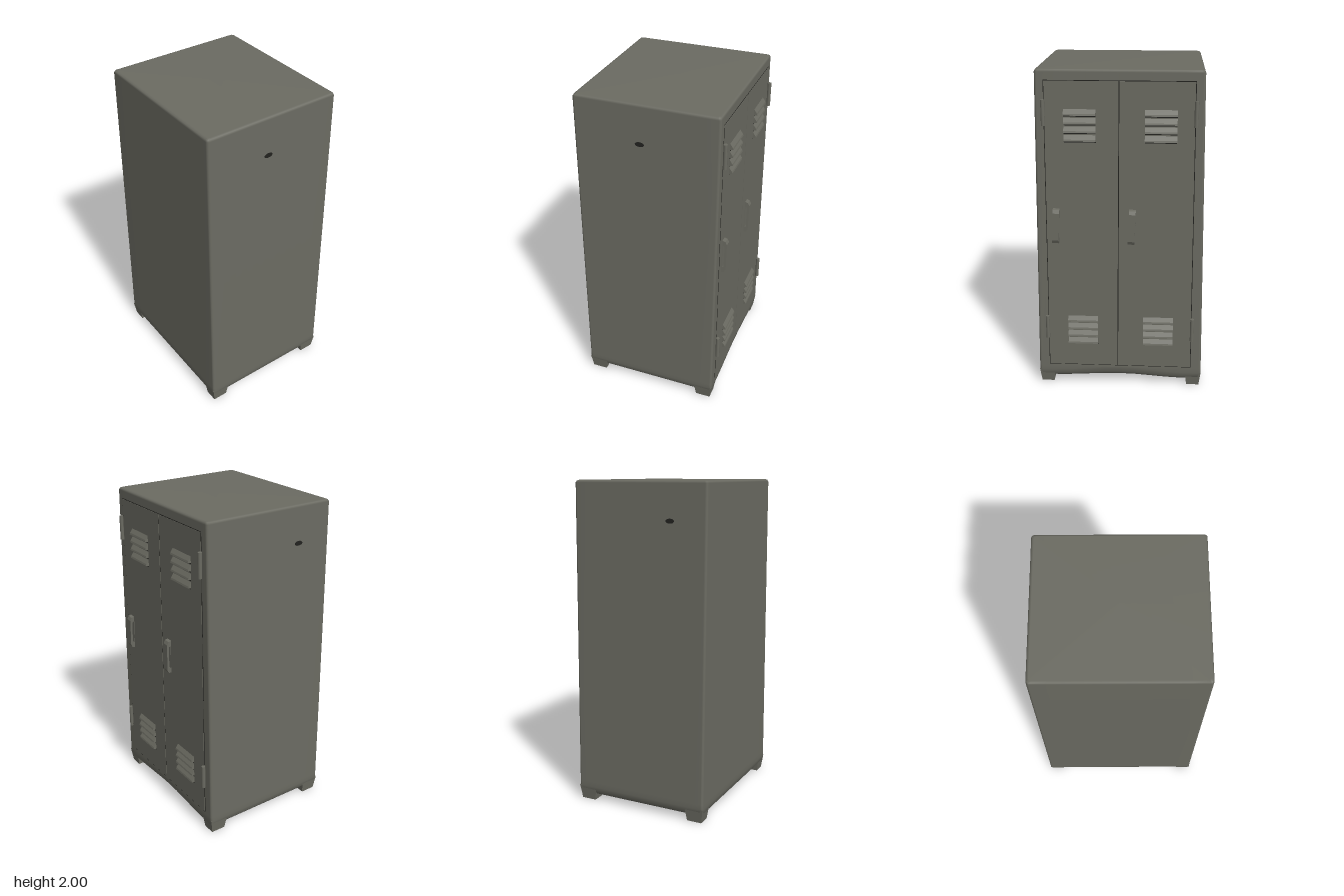
import * as THREE from 'three';

const X0 = -0.45, X1 = 0.415;
// half depth narrows towards the top
const halfZ = (y) => 0.515 - 0.0165 * y;

// rounded rectangle in xz, edges subdivided so they can be bent
function ring(inset, hz, r) {
  const cx = (X0 + X1) / 2, hx = (X1 - X0) / 2 - inset - r, h = hz - inset - r;
  const arcs = [[1, 1], [-1, 1], [-1, -1], [1, -1]].map(([sx, sz], k) =>
    [0, 1, 2, 3].map((i) => {
      const a = (k + i / 3) * Math.PI / 2;
      return [cx + sx * hx + r * Math.cos(a), sz * h + r * Math.sin(a)];
    }));
  const pts = [];
  arcs.forEach((arc, k) => {
    pts.push(...arc);
    const a = arc[3], b = arcs[(k + 1) % 4][0];
    for (let i = 1; i < 10; i++) pts.push([a[0] + (b[0] - a[0]) * i / 10, a[1] + (b[1] - a[1]) * i / 10]);
  });
  return pts;
}

// cabinet shell lofted from rings, with a shallow arch under the door side
function shellGeometry() {
  const levels = [[0.035, 0.05], [0.042, 0.02], [0.06, 0.005], [0.09, 0], [0.12, 0], [1.985, 0], [1.996, 0.005], [2, 0.016]];
  const pos = [], idx = [];
  let n = 0;
  levels.forEach(([y, inset], l) => {
    const pts = ring(inset, halfZ(y), 0.015);
    n = pts.length;
    pts.forEach(([x, z]) => {
      const side = Math.max(0, (x - 0.3) / 0.115);
      const lift = l < 4 && Math.abs(z) < 0.42 ? 0.025 * side * Math.cos(z / 0.42 * Math.PI / 2) ** 2 : 0;
      pos.push(x, y + lift, z);
    });
  });
  const last = levels.length - 1, bottom = n * levels.length, top = bottom + 1;
  pos.push(0, levels[0][0], 0, 0, 2, 0);
  for (let i = 0; i < n; i++) {
    const j = (i + 1) % n;
    for (let l = 0; l < last; l++) {
      const a = l * n + i, b = l * n + j;
      idx.push(a, a + n, b, b, a + n, b + n);
    }
    idx.push(bottom, i, j, top, last * n + j, last * n + i);
  }
  const g = new THREE.BufferGeometry();
  g.setAttribute('position', new THREE.Float32BufferAttribute(pos, 3));
  g.setIndex(idx);
  g.computeVertexNormals();
  return g;
}

// extrudes an (x, y) outline along z, centred on z = 0
function slab(points, width, holes = []) {
  const shape = new THREE.Shape(points.map((p) => new THREE.Vector2(...p)));
  holes.forEach((h) => shape.holes.push(new THREE.Path(h.map((p) => new THREE.Vector2(...p)))));
  return new THREE.ExtrudeGeometry(shape, { depth: width, bevelEnabled: false }).translate(0, 0, -width / 2);
}

// thin plate on the door side with a (z, y) outline
function sidePlate(points, thick) {
  const shape = new THREE.Shape(points.map(([z, y]) => new THREE.Vector2(-z, y)));
  return new THREE.ExtrudeGeometry(shape, { depth: thick, bevelEnabled: false }).rotateY(Math.PI / 2);
}

export function createModel() {
  const paint = new THREE.MeshStandardMaterial({ color: 0x6b6b62 });
  paint.name = 'greyPaint';
  const dark = new THREE.MeshStandardMaterial({ color: 0x22221f });
  dark.name = 'darkGap';
  const model = new THREE.Group();
  model.name = 'locker';
  const add = (name, geo, mat, x = 0, y = 0, z = 0) => {
    const m = new THREE.Mesh(geo, mat);
    m.name = name;
    m.position.set(x, y, z);
    model.add(m);
    return m;
  };

  add('cabinet', shellGeometry(), paint);

  // four tapered feet
  for (const front of [true, false]) for (const s of [1, -1]) {
    const g = new THREE.BoxGeometry(0.12, 0.09, 0.1);
    const p = g.attributes.position;
    for (let i = 0; i < p.count; i++) {
      if (p.getY(i) < 0) { p.setX(i, p.getX(i) * 0.78); p.setZ(i, p.getZ(i) * 0.78); }
    }
    g.computeVertexNormals();
    add('foot', g, paint, front ? X1 - 0.061 : X0 + 0.061, 0.045, s * 0.463);
  }

  // dark seam backing and the two doors in front of it
  const lo = 0.13, hi = 1.94, gap = 0.004;
  add('doorSeam', sidePlate([[0.448, lo], [-0.448, lo], [-0.432, hi], [0.432, hi]], 0.001), dark, X1);
  add('leftDoor', sidePlate([[0.444, lo + gap], [0.016, lo + gap], [0.004, hi - gap], [0.428, hi - gap]], 0.003), paint, X1);
  add('rightDoor', sidePlate([[0.011, lo + gap], [-0.444, lo + gap], [-0.428, hi - gap], [-0.001, hi - gap]], 0.003), paint, X1);

  // louvre vents, each slat with a dark slot below
  const face = X1 + 0.003;
  const slat = slab([[0, 0], [0.02, 0.004], [0.017, 0.014], [0, 0.038]], 0.185);
  const slot = new THREE.BoxGeometry(0.003, 0.005, 0.185);
  for (const z of [0.228, -0.238]) for (const y of [1.588, 0.288]) {
    for (let i = 0; i < 4; i++) {
      add('ventSlat', slat, paint, face, y + i * 0.05, z);
      add('ventSlot', slot, dark, face, y + i * 0.05 - 0.003, z);
    }
  }

  // pull handles
  const handle = slab(
    [[0, -0.11], [0.018, -0.105], [0.028, -0.085], [0.028, 0.085], [0.018, 0.105], [0, 0.11]], 0.04,
    [[[0.003, -0.075], [0.003, 0.075], [0.014, 0.07], [0.014, -0.07]]]);
  for (const z of [0.38, -0.073]) add('handle', handle, paint, face, 1.07, z).rotation.x = -0.04;

  // hinge barrels on the outer door edges
  const barrel = new THREE.CylinderGeometry(0.012, 0.012, 0.15, 10);
  for (const s of [1, -1]) for (const y of [1.755, 0.4]) {
    add('hinge', barrel, paint, 0.428, y, s * (y > 1 ? 0.436 : 0.449));
  }

  // small dark lock openings on the two side walls
  const spot = new THREE.CylinderGeometry(0.022, 0.022, 0.004, 12).rotateX(Math.PI / 2).scale(1.25, 0.65, 1);
  add('frontOpening', spot, dark, -0.05, 1.765, halfZ(1.765)).rotation.x = -0.0165;
  add('backOpening', spot, dark, -0.22, 1.775, -halfZ(1.775)).rotation.x = 0.0165;

  return model;
}
